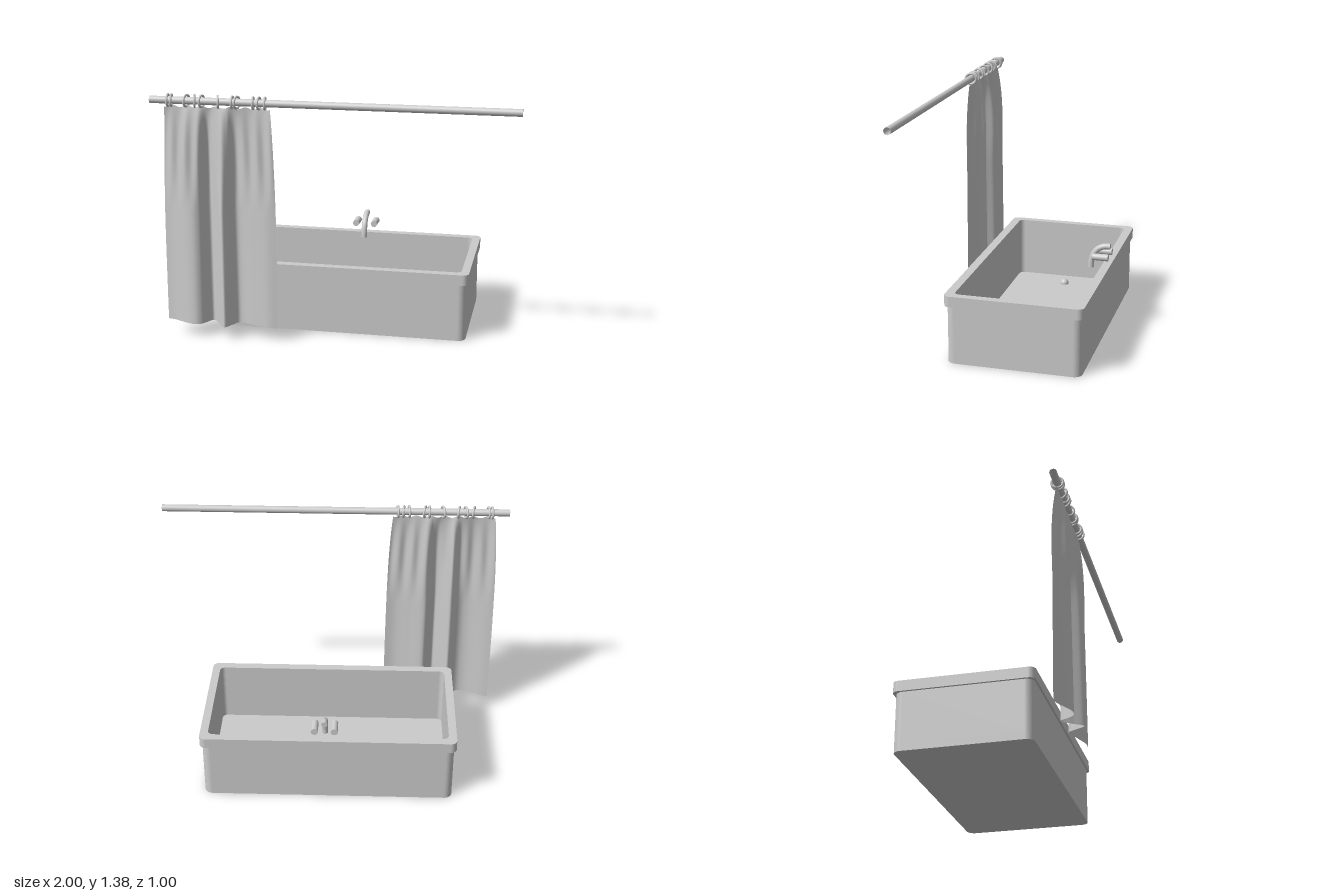
import * as THREE from 'three';

const material = new THREE.MeshStandardMaterial({ color: 0xcccccc });
const sheetMaterial = new THREE.MeshStandardMaterial({ color: 0xcccccc, side: THREE.DoubleSide });

function addMesh(parent, name, geometry, mat = material) {
  const mesh = new THREE.Mesh(geometry, mat);
  mesh.name = name;
  parent.add(mesh);
  return mesh;
}

// Rounded rectangle outline centred on the origin
function roundedRect(Type, w, d, r) {
  const p = new Type(), x = w / 2, y = d / 2;
  p.moveTo(-x + r, -y);
  p.lineTo(x - r, -y);
  p.absarc(x - r, -y + r, r, -Math.PI / 2, 0);
  p.lineTo(x, y - r);
  p.absarc(x - r, y - r, r, 0, Math.PI / 2);
  p.lineTo(-x + r, y);
  p.absarc(-x + r, y - r, r, Math.PI / 2, Math.PI);
  p.lineTo(-x, -y + r);
  p.absarc(-x + r, -y + r, r, Math.PI, Math.PI * 1.5);
  return p;
}

// Upright slab between two heights, optionally with the basin opening cut out
function slab(w, d, r, y0, y1, open) {
  const shape = roundedRect(THREE.Shape, w, d, r);
  if (open) shape.holes.push(roundedRect(THREE.Path, 1.345, 0.67, 0.03));
  const g = new THREE.ExtrudeGeometry(shape, { depth: y1 - y0, bevelEnabled: false, curveSegments: 8 });
  return g.rotateX(-Math.PI / 2).translate(0, y0, 0);
}

function createBathtub() {
  const tub = new THREE.Group();
  tub.name = 'bathtub';
  tub.position.set(0.012, 0, -0.118);
  addMesh(tub, 'tubFloor', slab(1.41, 0.745, 0.045, 0, 0.04, false));
  addMesh(tub, 'tubWalls', slab(1.41, 0.745, 0.045, 0.04, 0.33, true));
  addMesh(tub, 'tubRim', slab(1.435, 0.768, 0.035, 0.33, 0.39, true));
  addMesh(tub, 'drainPlug', new THREE.SphereGeometry(0.026, 20, 12)).position.set(-0.537, 0.045, 0.014);
  return tub;
}

function createFaucet() {
  const faucet = new THREE.Group();
  faucet.name = 'faucet';
  faucet.position.x = 0.03;
  // Spout bending forward and down over the basin
  const path = new THREE.CatmullRomCurve3([
    [-0.5, 0.504], [-0.465, 0.502], [-0.43, 0.485], [-0.403, 0.45], [-0.392, 0.41], [-0.39, 0.375],
  ].map(([z, y]) => new THREE.Vector3(0, y, z)));
  addMesh(faucet, 'spout', new THREE.TubeGeometry(path, 24, 0.017, 16));
  for (const [z, y, flip] of [[-0.5, 0.504, Math.PI], [-0.39, 0.375, Math.PI / 2]]) {
    const cap = addMesh(faucet, 'spoutEnd', new THREE.CircleGeometry(0.017, 16));
    cap.position.set(0, y, z);
    cap.rotation.x = flip;
  }
  // Two taps beside the spout
  for (const side of [-1, 1]) {
    const tap = addMesh(faucet, side < 0 ? 'rightTap' : 'leftTap',
      new THREE.CylinderGeometry(0.019, 0.02, 0.09, 20));
    tap.rotation.x = Math.PI / 2;
    tap.position.set(side * 0.055, 0.455, -0.455);
  }
  return faucet;
}

// Sheet hanging from the rod, its folds opening out towards the hem
function createCurtain() {
  const fold = new THREE.SplineCurve([
    [-0.95, 0.415], [-0.9, 0.43], [-0.8, 0.475], [-0.74, 0.465], [-0.69, 0.392], [-0.645, 0.44],
    [-0.6, 0.495], [-0.565, 0.445], [-0.53, 0.4], [-0.44, 0.43], [-0.36, 0.455], [-0.3, 0.455],
  ].map(([x, z]) => new THREE.Vector2(x, z)));
  const cols = 120, rows = 48;
  const g = new THREE.PlaneGeometry(1, 1, cols, rows);
  const pos = g.attributes.position;
  for (let j = 0; j <= rows; j++) {
    const v = (j / rows) ** 1.4;
    const open = 0.8 * (1 - Math.exp(-v * 9)) + 0.2 * v;
    const narrow = Math.exp(-v * 4);
    for (let i = 0; i <= cols; i++) {
      const p = fold.getPoint(i / cols);
      const x = -0.627 + (p.x + 0.625) * (1 - 0.095 * narrow);
      // Fine gathers that fade out below the rings
      const gather = 0.01 * Math.sin(p.x * 75) * Math.sin(Math.PI * Math.min(1, v * 2.2));
      const sag = 0.006 * (1 - Math.cos(p.x * 70)) * (1 - v);
      pos.setXYZ(j * (cols + 1) + i, x, 1.318 - 1.24 * v - sag, 0.44 + (p.y - 0.44) * open + gather * (1 - v));
    }
  }
  g.computeVertexNormals();
  return g;
}

export function createModel() {
  const model = new THREE.Group();
  model.name = 'bathtubWithCurtain';
  model.add(createBathtub(), createFaucet());

  // Hollow curtain rod
  const rod = addMesh(model, 'curtainRod', new THREE.CylinderGeometry(0.02, 0.02, 2, 24, 1, true), sheetMaterial);
  rod.rotation.z = Math.PI / 2;
  rod.position.set(0, 1.343, 0.44);

  // Rings, each turned a little differently: x position and turn
  const rings = [[-0.9, 0.1], [-0.88, 0.15], [-0.795, -0.25], [-0.75, 0.3], [-0.71, -0.2], [-0.62, 0.3],
    [-0.54, 0.05], [-0.515, -0.25], [-0.425, 0.12], [-0.393, -0.1], [-0.36, 0.12]];
  const ringGeometry = new THREE.TorusGeometry(0.031, 0.0065, 10, 28);
  for (const [x, turn] of rings) {
    const ring = addMesh(model, 'curtainRing', ringGeometry);
    ring.position.set(x, 1.342, 0.44);
    ring.rotation.y = Math.PI / 2 + turn;
  }

  addMesh(model, 'curtain', createCurtain(), sheetMaterial);
  return model;
}
